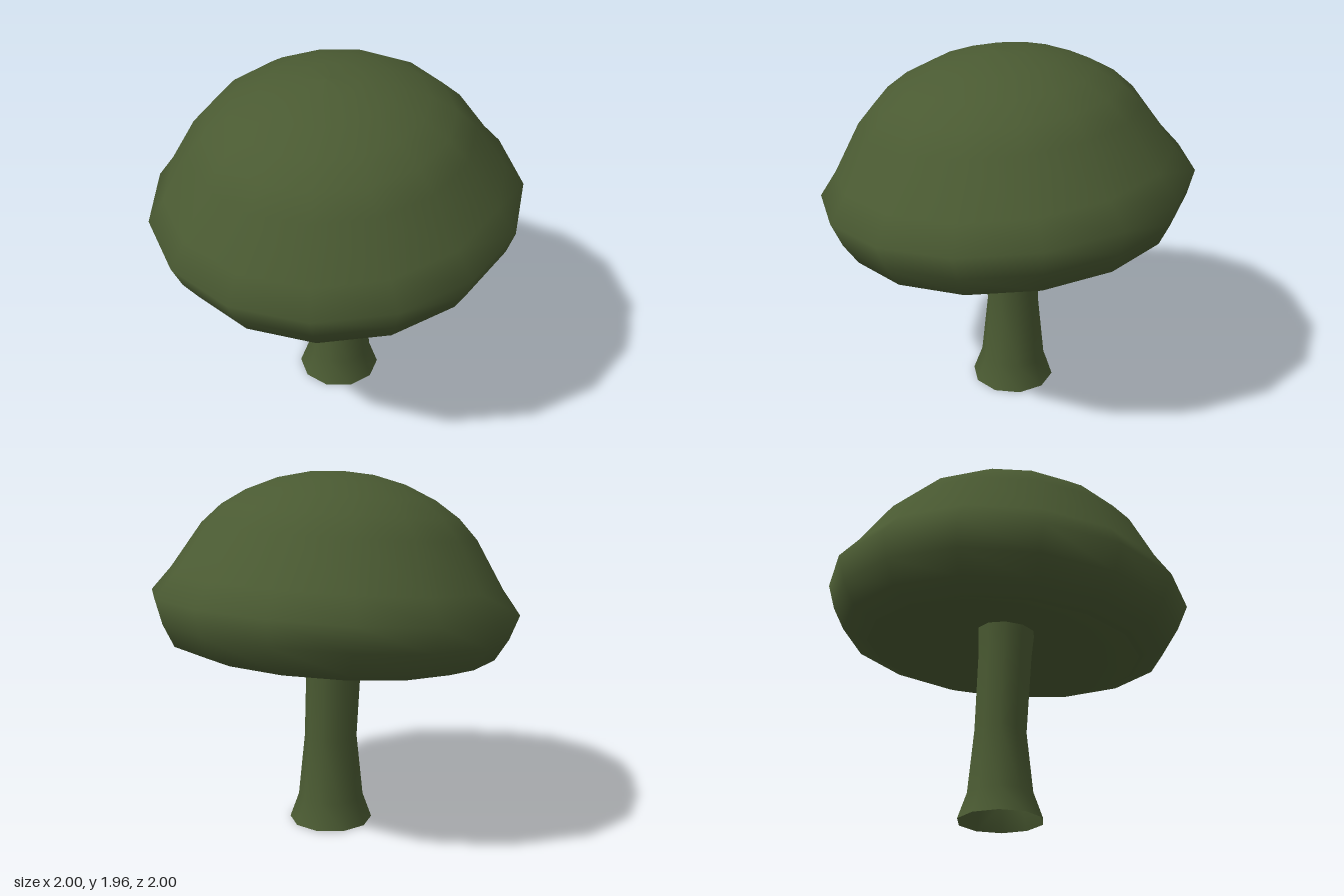
import * as THREE from 'three';

const lathe = (pts, sides) =>
  new THREE.LatheGeometry(pts.map(([r, y]) => new THREE.Vector2(r, y)), sides, Math.PI);

export function createModel() {
  const model = new THREE.Group();
  const green = new THREE.MeshStandardMaterial({ color: 0x4a5a32, side: THREE.DoubleSide });
  green.name = 'mossGreen';

  const add = (name, geometry, parent) => {
    const mesh = new THREE.Mesh(geometry, green);
    mesh.name = name;
    parent.add(mesh);
    return mesh;
  };

  // Tilted cap; heights are measured from its widest ring
  const cap = new THREE.Group();
  cap.name = 'cap';
  cap.position.set(0, 1.26, 0.011);
  cap.rotation.z = 0.0997;
  model.add(cap);

  add('capDome', lathe([
    [0.758, -0.301], [0.895, -0.253], [0.963, -0.135], [1.01, 0], [0.909, 0.13], [0.751, 0.382],
    [0.648, 0.488], [0.518, 0.574], [0.349, 0.648], [0.173, 0.69], [0, 0.702],
  ], 15), cap);

  // Shallow hollow beneath the cap
  add('capUnderside', lathe([
    [0, -0.17], [0.25, -0.185], [0.52, -0.225], [0.758, -0.301],
  ], 15), cap);

  // Open flared stem, leaning slightly towards the cap's low side near the top
  const stemGeometry = lathe([
    [0.232, 0], [0.182, 0.14], [0.146, 0.49], [0.153, 0.95], [0.163, 1.1],
  ], 10);
  const p = stemGeometry.attributes.position;
  for (let i = 0; i < p.count; i++) {
    const bend = Math.max(0, p.getY(i) - 0.49);
    p.setX(i, p.getX(i) + 0.042 - 0.07 * bend);
  }
  add('stem', stemGeometry, model).position.z = 0.01;

  return model;
}
